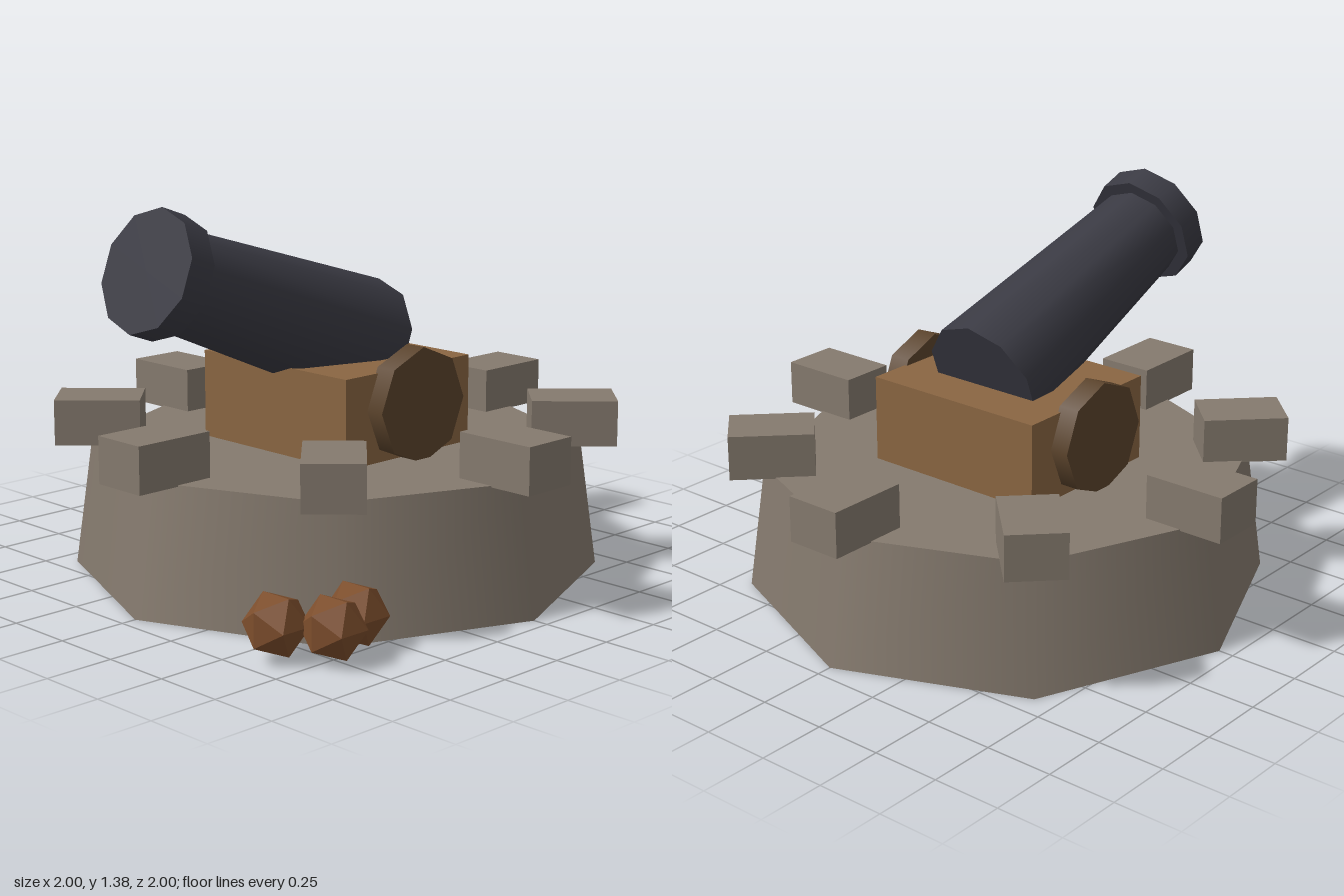
import * as THREE from 'three';

function material(name, color) {
  const m = new THREE.MeshStandardMaterial({ color });
  m.name = name;
  return m;
}

export function createModel() {
  const stone = material('stone', 0x857a6e);
  const wood = material('wood', 0x8a6642);
  const darkWood = material('dark wood', 0x5c442c);
  const iron = material('iron', 0x3a3a43);
  const rust = material('rust', 0x7d4e2c);
  rust.flatShading = true;

  const model = new THREE.Group();
  model.name = 'cannonTower';

  function add(name, geometry, mat, x, y, z, parent = model) {
    const mesh = new THREE.Mesh(geometry, mat);
    mesh.name = name;
    mesh.position.set(x, y, z);
    parent.add(mesh);
    return mesh;
  }

  // Tapered eight-sided stone base
  add('towerBase', new THREE.CylinderGeometry(0.88, 0.945, 0.465, 8), stone, 0, 0.2325, 0);

  // Ring of battlement blocks
  const block = new THREE.BoxGeometry(0.21, 0.165, 0.305);
  for (let i = 0; i < 8; i++) {
    const a = (i * Math.PI) / 4;
    const merlon = add('battlement', block, stone, Math.sin(a) * 0.8475, 0.5425, Math.cos(a) * 0.8475);
    merlon.rotation.y = a;
  }

  // Carriage with a wheel on each side
  add('carriage', new THREE.BoxGeometry(0.72, 0.32, 0.615), wood, 0, 0.62, 0);
  const wheel = new THREE.CylinderGeometry(0.205, 0.205, 0.08, 8).rotateZ(Math.PI / 2);
  add('leftWheel', wheel, darkWood, 0.39, 0.655, 0);
  add('rightWheel', wheel, darkWood, -0.39, 0.655, 0);

  // Gun raised 20 degrees: local y runs from breech to muzzle
  const gun = new THREE.Group();
  gun.name = 'gun';
  gun.position.set(0, 0.805, -0.14);
  gun.rotation.x = Math.PI / 2 - 0.35;
  model.add(gun);
  add('barrel', new THREE.CylinderGeometry(0.17, 0.23, 1.02, 10), iron, 0, 0.51, 0, gun);
  add('muzzleRing', new THREE.CylinderGeometry(0.216, 0.216, 0.102, 10), iron, 0, 1.024, 0, gun);

  // Pile of faceted cannonballs beside the base
  const ball = new THREE.IcosahedronGeometry(0.113, 0);
  for (const [x, z] of [[0.62, 0.877], [0.77, 0.77], [0.72, 0.62]]) {
    add('cannonball', ball, rust, x, 0.1175, z);
  }

  return model;
}
